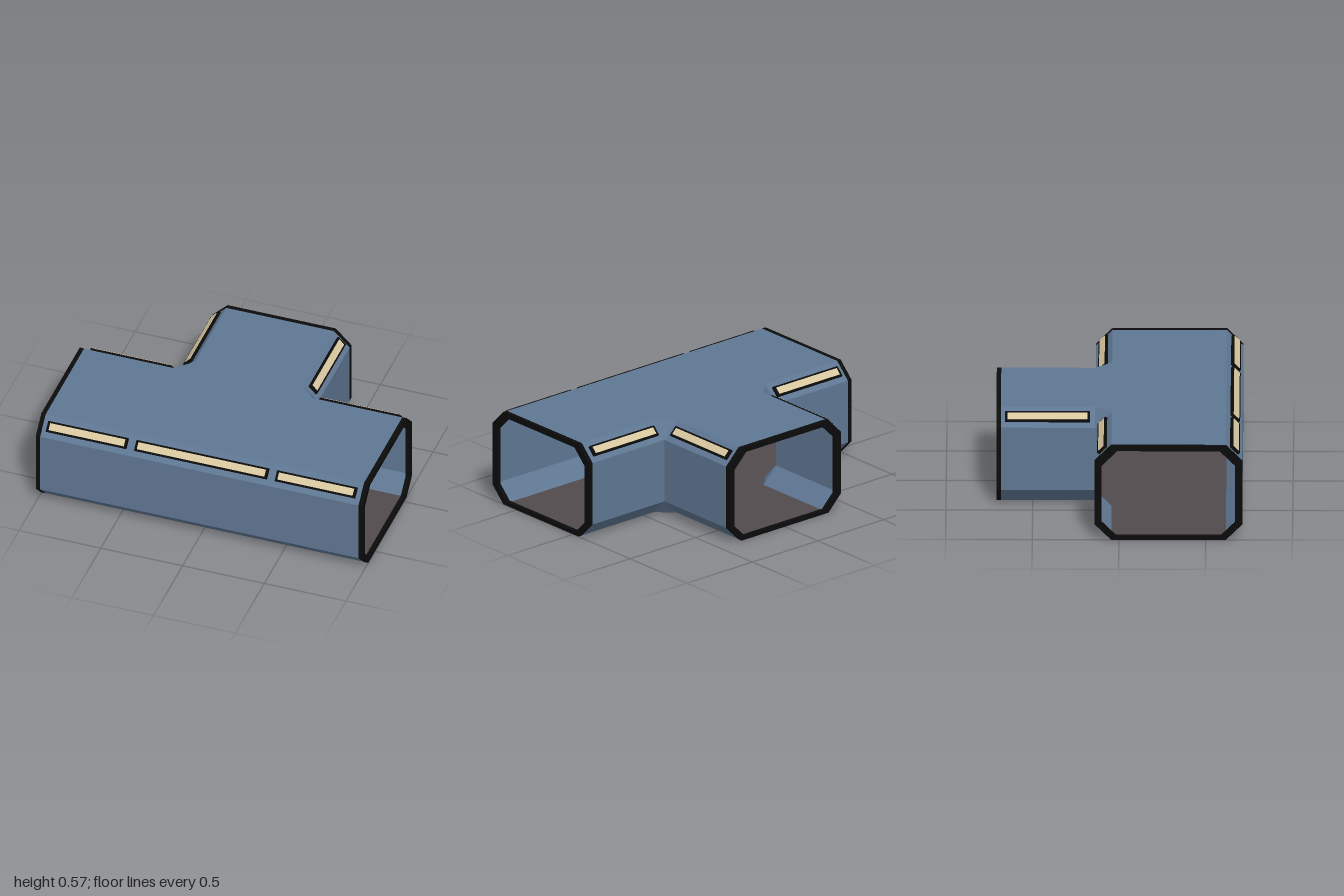
import * as THREE from 'three';

const LEN = 1, HALF = 0.425, FRONT = 0.71, BACK = -0.14, END = -0.71;
const H = 0.572, CH = 0.095, RIM = 0.026;

const paint = (name, color, side = THREE.FrontSide) => {
  const m = new THREE.MeshStandardMaterial({ color, side });
  m.name = name;
  return m;
};

// Outline strips of the T plan as [x, z], pulled in by an inset
const strips = (ins) => {
  const rear = [[LEN - 0.005, BACK + ins], [HALF, BACK + ins], [HALF - ins, BACK], [HALF - ins, END + 0.005]];
  return [
    [[-LEN + 0.005, FRONT - ins], [LEN - 0.005, FRONT - ins]],
    rear,
    rear.map(([x, z]) => [-x, z]).reverse(),
  ];
};

// Walls and chamfers lofted through four levels of the outline
function wallGeometry() {
  const levels = [[CH, 0], [0, CH], [0, H - CH], [CH, H]];
  const pos = [];
  const area = new THREE.Triangle();
  const tri = (...p) => {
    area.set(...p);
    if (area.getArea() > 1e-7) p.forEach((v) => pos.push(v.x, v.y, v.z));
  };
  for (let l = 0; l < 3; l++) {
    const [lo, hi] = [levels[l], levels[l + 1]].map(([ins, y]) =>
      strips(ins).map((s) => s.map(([x, z]) => new THREE.Vector3(x, y, z))));
    lo.forEach((s, k) => {
      for (let i = 0; i < s.length - 1; i++) {
        tri(s[i], s[i + 1], hi[k][i + 1]);
        tri(s[i], hi[k][i + 1], hi[k][i]);
      }
    });
  }
  const g = new THREE.BufferGeometry();
  g.setAttribute('position', new THREE.Float32BufferAttribute(pos, 3));
  g.computeVertexNormals();
  return g;
}

// Flat T-shaped plate for floor and ceiling
function plateGeometry() {
  const pts = strips(CH).flat().map(([x, z]) => new THREE.Vector2(x, -z));
  return new THREE.ShapeGeometry(new THREE.Shape(pts)).rotateX(-Math.PI / 2);
}

// Octagon with separate lower and upper chamfers
const octagon = (w, y0, y1, low, high) => [
  [w - low, y0], [w, y0 + low], [w, y1 - high], [w - high, y1],
  [-w + high, y1], [-w, y1 - high], [-w, y0 + low], [-w + low, y0],
].map(([x, y]) => new THREE.Vector2(x, y));

function rimGeometry() {
  const shape = new THREE.Shape(octagon(HALF + 0.001, -0.001, H + 0.001, CH, CH));
  shape.holes.push(new THREE.Path(octagon(HALF - 0.04, 0.023, H - 0.03, 0.08, 0.09).reverse()));
  return new THREE.ExtrudeGeometry(shape, { depth: RIM, bevelEnabled: false });
}

export function createModel() {
  const blue = paint('blue panel', 0x5f7793, THREE.DoubleSide);
  const floorGrey = paint('floor grey', 0x524a4c, THREE.DoubleSide);
  const black = paint('black trim', 0x0b0b0b);
  const cream = paint('cream light', 0xd8c8a0);

  const model = new THREE.Group();
  model.name = 'corridorJunction';
  const add = (parent, name, geo, mat) => {
    const m = new THREE.Mesh(geo, mat);
    m.name = name;
    parent.add(m);
    return m;
  };

  add(model, 'walls', wallGeometry(), blue);
  add(model, 'ceiling', plateGeometry(), blue).position.y = H;
  add(model, 'floor', plateGeometry(), floorGrey);

  // Black rims around the three openings
  const rimGeo = rimGeometry();
  const midZ = (FRONT + BACK) / 2;
  [
    ['leftRim', LEN - RIM, midZ, Math.PI / 2],
    ['rightRim', -LEN + RIM, midZ, -Math.PI / 2],
    ['backRim', 0, END + RIM, Math.PI],
  ].forEach(([name, x, z, yaw]) => {
    const rim = add(model, name, rimGeo, black);
    rim.position.set(x, 0, z);
    rim.rotation.y = yaw;
  });

  // Framed light strips passing through the upper chamfers
  const light = (name, x, z, yaw, length) => {
    const g = new THREE.Group();
    g.name = name;
    g.position.set(x, H - CH / 2, z);
    g.rotation.set(-Math.PI / 4, yaw, 0, 'YXZ');
    add(g, 'lightFrame', new THREE.BoxGeometry(length, 0.064, 0.04), black).position.z = -0.004;
    add(g, 'lightPanel', new THREE.BoxGeometry(length - 0.03, 0.042, 0.046), cream).position.z = -0.004;
    model.add(g);
  };
  light('frontMiddleLight', 0, FRONT - CH / 2, 0, 0.81);
  for (const s of [1, -1]) {
    const side = s > 0 ? 'Left' : 'Right';
    light(`front${side}Light`, s * 0.7, FRONT - CH / 2, 0, 0.49);
    light(`back${side}Light`, s * 0.7, BACK + CH / 2, Math.PI, 0.49);
    light(`branch${side}Light`, s * (HALF - CH / 2), -0.415, s * Math.PI / 2, 0.49);
  }
  return model;
}
